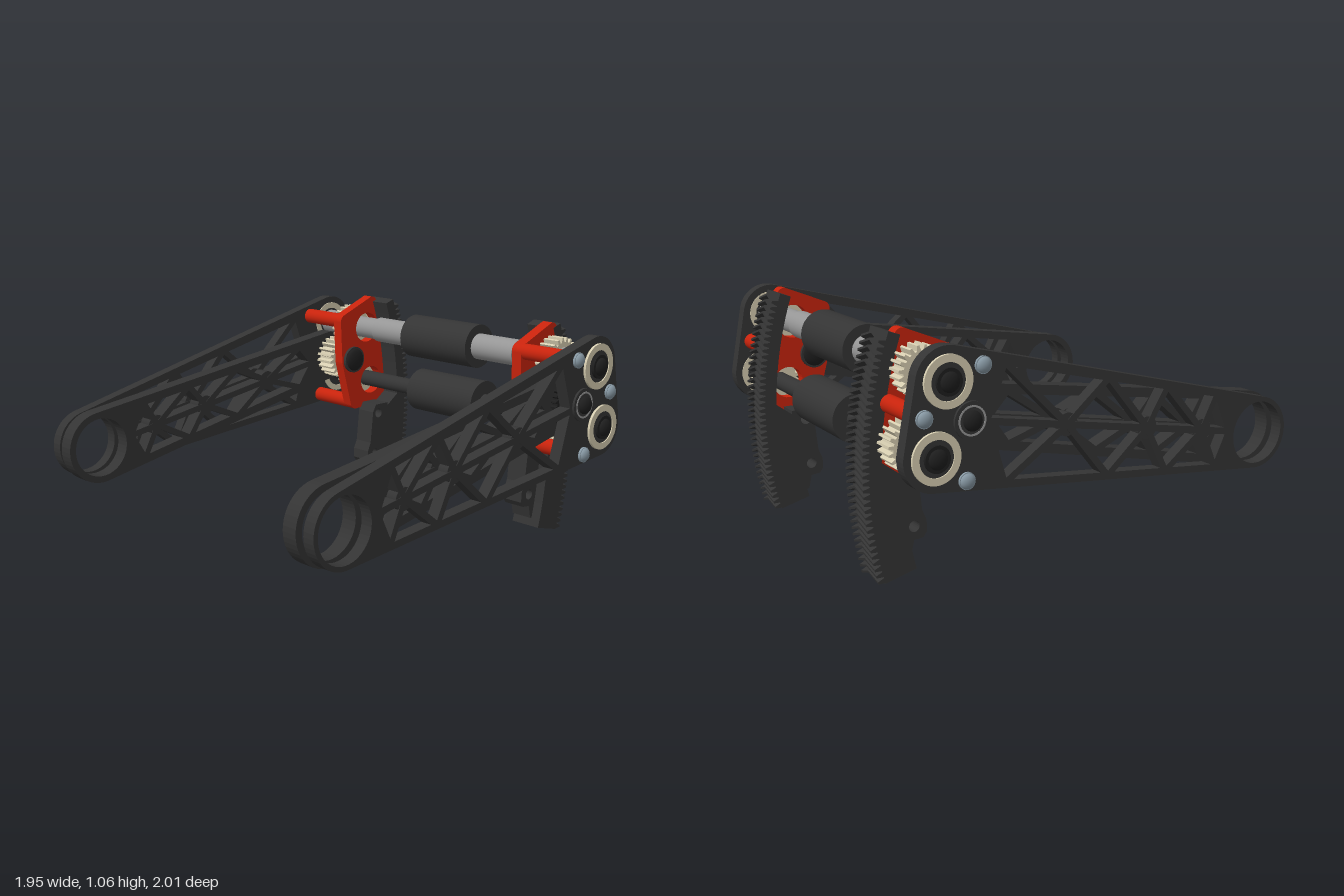
import * as THREE from 'three';
import { mergeGeometries } from 'three/addons/utils/BufferGeometryUtils.js';

const paint = (color) => new THREE.MeshStandardMaterial({ color });
const DARK = paint(0x343434), BLACK = paint(0x1e1e1e), RED = paint(0xc8230c), CREAM = paint(0xd6cdb0),
  STEEL = paint(0x969696), SCREW = paint(0x8798a3);

// Side-profile points are [z, y]
const PIVOT = [0.828, 0.487], UPPER = [-0.775, 0.915], LOWER = [-0.83, 0.618], MIDDLE = [-0.673, 0.749];
const SCREWS = [[-0.62, 0.963], [-0.88, 0.78], [-0.695, 0.508]];

const toShape = (pts) => new THREE.Shape(pts.map(([a, b]) => new THREE.Vector2(a, b)));

function disc([z, y], r, n = 48) {
  return Array.from({ length: n }, (_, i) => {
    const a = (i / n) * Math.PI * 2;
    return [z + r * Math.cos(a), y + r * Math.sin(a)];
  });
}

// Convex outline wrapped around circles given as [centre, radius]
function wrap(circles) {
  const pts = circles.flatMap(([c, r]) => disc(c, r)).sort((p, q) => p[0] - q[0] || p[1] - q[1]);
  const half = (list) => {
    const h = [];
    for (const p of list) {
      while (h.length > 1) {
        const [a, b] = h.slice(-2);
        if ((b[0] - a[0]) * (p[1] - a[1]) - (b[1] - a[1]) * (p[0] - a[0]) > 1e-9) break;
        h.pop();
      }
      h.push(p);
    }
    return h.slice(0, -1);
  };
  return [...half(pts), ...half(pts.reverse())];
}

// Triangle with every side moved inward by w
function insetTriangle(A, B, C, w) {
  const d = (p, q) => Math.hypot(p[0] - q[0], p[1] - q[1]);
  const a = d(B, C), b = d(A, C), c = d(A, B), s = a + b + c;
  const centre = [0, 1].map((k) => (a * A[k] + b * B[k] + c * C[k]) / s);
  const area = Math.abs((B[0] - A[0]) * (C[1] - A[1]) - (B[1] - A[1]) * (C[0] - A[0])) / 2;
  const f = 1 - (w * s) / (2 * area);
  return [A, B, C].map((p) => [0, 1].map((k) => centre[k] + (p[k] - centre[k]) * f));
}

// Profile thickened along x, centred on x
function slabGeometry(outline, holes, x, width, steps = 1) {
  const shape = toShape(outline);
  shape.holes = holes.map(toShape);
  return new THREE.ExtrudeGeometry(shape, { depth: width, steps, bevelEnabled: false })
    .translate(0, 0, -width / 2).rotateY(-Math.PI / 2).translate(x, 0, 0);
}

function add(group, name, geometry, material) {
  const mesh = new THREE.Mesh(geometry, material);
  mesh.name = name;
  group.add(mesh);
  return mesh;
}
const slab = (g, name, mat, outline, holes, x, w) => add(g, name, slabGeometry(outline, holes, x, w), mat);

// Round bar along x
function rod(g, name, mat, [z, y], r, x, length, sides = 32) {
  add(g, name, new THREE.CylinderGeometry(r, r, length, sides).rotateZ(Math.PI / 2).translate(x, y, z), mat);
}

// Flattened dome for screw heads
function dome(g, name, mat, [z, y], r, x, height) {
  add(g, name, new THREE.SphereGeometry(r, 24, 12).scale(height / r, 1, 1).translate(x, y, z), mat);
}

function gearOutline([z, y], r, root, teeth) {
  const pts = [];
  for (let i = 0; i < teeth; i++) {
    [[0, root], [0.35, root], [0.5, r], [0.8, r]].forEach(([f, rad]) => {
      const a = ((i + f) / teeth) * Math.PI * 2;
      pts.push([z + rad * Math.cos(a), y + rad * Math.sin(a)]);
    });
  }
  return pts;
}

// Truss openings between the two chords and a centre rib
const HUBS = [0.5, 0.196, -0.217];
const rib = (z) => [z, 0.487 + (0.828 - z) * 0.173];
function trussHoles(top, bottom, ribEnd, chordEnd) {
  const c = [0.655, ...HUBS, ribEnd].map(rib);
  return [top, bottom].flatMap((chord) => {
    const t = [0.58, 0.3, -0.01, chordEnd].map((z) => [z, chord(z)]);
    return t.flatMap((p, i) => {
      const holes = [insetTriangle(c[i], c[i + 1], p, 0.015)];
      if (i < 3) holes.push(insetTriangle(p, t[i + 1], c[i + 1], 0.015));
      return holes;
    });
  });
}

function trussArm(g, name, circles, holes, x, w) {
  slab(g, name, DARK, wrap(circles), [disc(PIVOT, 0.143), ...holes], x, w);
  HUBS.forEach((z) => rod(g, name + 'Hub', DARK, rib(z), 0.05, x, w - 0.006, 24));
}

// Arc of points around the arm pivot, angles measured from straight back
function arc(r, from, to, n = 24) {
  return Array.from({ length: n + 1 }, (_, i) => {
    const a = from + ((to - from) * i) / n;
    return [PIVOT[0] - r * Math.cos(a), PIVOT[1] + r * Math.sin(a)];
  });
}

// Curved rack with chevron teeth on its outer face
function rack(s) {
  const g = new THREE.Group();
  g.name = 'curvedRack';
  const x = s * 0.562, w = 0.16, low = -0.262, high = 0.33;
  slab(g, 'rackBody', DARK, [...arc(1.8, low, high), ...arc(1.745, high, 0.03), ...arc(1.65, -0.01, low)], [], x, w);
  slab(g, 'rackMount', DARK, [[-0.84, 0.1], [-0.765, 0.1], [-0.75, 0.165], [-0.705, 0.17], [-0.688, 0.195],
    [-0.69, 0.245], [-0.71, 0.29], [-0.728, 0.46], [-0.75, 0.5], [-0.84, 0.5]],
  [disc([-0.748, 0.225], 0.025, 20), disc([-0.77, 0.45], 0.025, 20)], s * 0.537, 0.11);
  const count = 36, teeth = [];
  for (let i = 0; i < count; i++) {
    const tooth = slabGeometry([[-1.795, -0.013], [-1.795, 0.013], [-1.83, 0.005], [-1.83, -0.005]], [], 0, w, 2);
    const p = tooth.attributes.position;
    for (let k = 0; k < p.count; k++) p.setY(k, p.getY(k) + 0.012 - 0.35 * Math.abs(p.getX(k)));
    tooth.computeVertexNormals();
    const a = low + 0.01 + ((high - low - 0.02) * (i + 0.5)) / count;
    teeth.push(tooth.rotateX(a).translate(x, PIVOT[1], PIVOT[0]));
  }
  add(g, 'rackTeeth', mergeGeometries(teeth), DARK);
  return g;
}

function sideUnit(s) {
  const g = new THREE.Group();
  g.name = s > 0 ? 'leftUnit' : 'rightUnit';

  // Outer and inner truss arms
  trussArm(g, 'outerArm', [[PIVOT, 0.165], [UPPER, 0.14], [LOWER, 0.14], [SCREWS[1], 0.06]],
    trussHoles((z) => 0.63 + (0.866 - z) * 0.241, (z) => 0.344 + (0.759 - z) * 0.096, -0.6, -0.52), s * 0.906, 0.058);
  trussArm(g, 'innerArm', [[PIVOT, 0.175], [MIDDLE, 0.13]],
    trussHoles((z) => 0.636 + (0.828 - z) * 0.145, (z) => 0.335 + (0.828 - z) * 0.205, -0.54, -0.45), s * 0.807, 0.075);

  // Red gearbox frame
  slab(g, 'gearboxPlate', RED, wrap([[SCREWS[0], 0.038], [[-0.815, 1.045], 0.035], [[-0.865, 0.78], 0.04],
    [[-0.9, 0.52], 0.04], [SCREWS[2], 0.038], [MIDDLE, 0.08]]),
  [disc(UPPER, 0.08, 32), disc([-0.81, 0.618], 0.075, 32)], s * 0.613, 0.055);
  SCREWS.forEach((p) => {
    rod(g, 'standoff', RED, p, 0.038, s * 0.758, 0.24, 24);
    rod(g, 'screwWasher', SCREW, p, 0.036, s * 0.94, 0.012, 24);
    dome(g, 'screwHead', SCREW, p, 0.033, s * 0.944, 0.02);
  });

  // Gear train and pulley
  [UPPER, MIDDLE, LOWER].forEach((p, i) => slab(g, 'gear', CREAM, gearOutline(p, 0.11, 0.088, 20), [],
    s * 0.701, i === 0 ? 0.085 : 0.105));
  slab(g, 'pulley', BLACK, gearOutline(MIDDLE, 0.12, 0.108, 28), [], s * 0.86, 0.03);
  rod(g, 'idlerAxle', DARK, MIDDLE, 0.04, s * 0.755, 0.38);
  rod(g, 'idlerWasher', DARK, MIDDLE, 0.07, s * 0.579, 0.018);
  dome(g, 'idlerInnerCap', BLACK, MIDDLE, 0.06, s * 0.57, 0.02);

  // Bearings on the outer plate
  [UPPER, LOWER].forEach((p) => {
    slab(g, 'bearingRing', CREAM, disc(p, 0.107), [disc(p, 0.076)], s * 0.91, 0.074);
    rod(g, 'bearingSeal', DARK, p, 0.077, s * 0.909, 0.066);
    rod(g, 'axleWasher', BLACK, p, 0.056, s * 0.945, 0.02);
    dome(g, 'axleCap', BLACK, p, 0.042, s * 0.954, 0.022);
  });
  rod(g, 'idlerCollar', DARK, MIDDLE, 0.078, s * 0.936, 0.02);
  slab(g, 'idlerRing', STEEL, disc(MIDDLE, 0.062), [disc(MIDDLE, 0.054)], s * 0.94, 0.016);
  dome(g, 'idlerCap', BLACK, MIDDLE, 0.042, s * 0.95, 0.024);

  // Upper shaft sleeve steps
  rod(g, 'shaftSleeve', STEEL, UPPER, 0.065, s * 0.35, 0.26);
  rod(g, 'shaftEndSleeve', STEEL, UPPER, 0.065, s * 0.81, 0.13);

  g.add(rack(s));
  return g;
}

export function createModel() {
  const model = new THREE.Group();
  model.name = 'rollerArmMechanism';
  [1, -1].forEach((s) => model.add(sideUnit(s)));

  // Cross shafts and rollers
  rod(model, 'upperShaft', STEEL, UPPER, 0.056, 0, 1.86);
  rod(model, 'lowerShaft', DARK, LOWER, 0.042, 0, 1.86);
  [UPPER, LOWER].forEach((p) => rod(model, 'roller', DARK, p, 0.11, 0, 0.445));
  return model;
}
